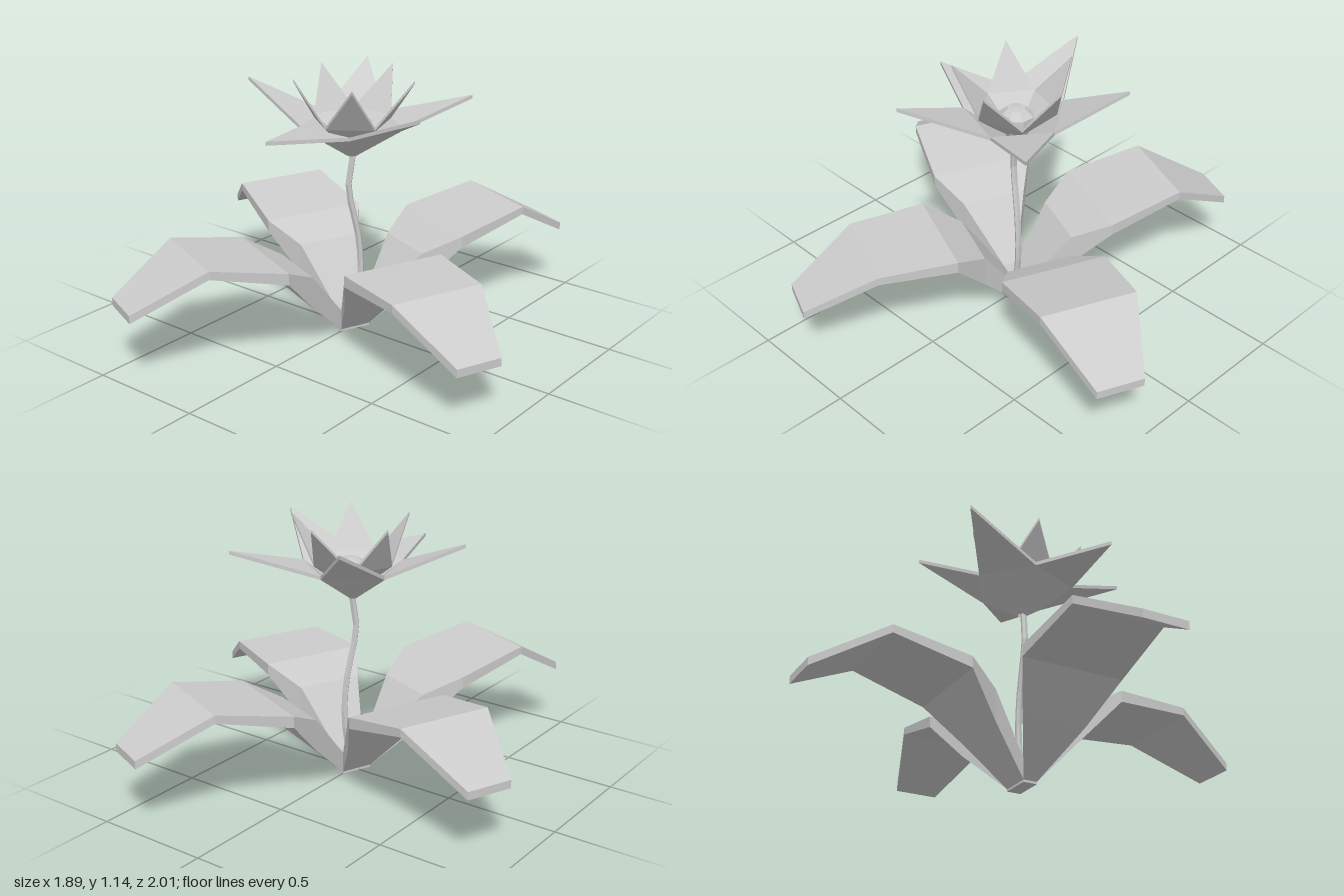
import * as THREE from 'three';

const material = new THREE.MeshStandardMaterial({ color: 0xcccccc, flatShading: true, side: THREE.DoubleSide });

function addMesh(parent, name, geometry) {
  const mesh = new THREE.Mesh(geometry, material);
  mesh.name = name;
  parent.add(mesh);
  return mesh;
}

function flatGeometry(points, index) {
  const g = new THREE.BufferGeometry();
  g.setAttribute('position', new THREE.Float32BufferAttribute(points.flat(), 3));
  g.setIndex(index);
  const flat = g.toNonIndexed();
  flat.computeVertexNormals();
  return flat;
}

// Box-section strip along +z; rows are [distance, half width, top, bottom]
function leafGeometry(rows) {
  const points = [], index = [];
  rows.forEach(([z, w, top, bottom], i) => {
    points.push([-w, bottom, z], [w, bottom, z], [w, top, z], [-w, top, z]);
    if (i === rows.length - 1) return;
    for (let j = 0; j < 4; j++) {
      const a = i * 4 + j, b = i * 4 + (j + 1) % 4;
      index.push(a, b, b + 4, a, b + 4, a + 4);
    }
  });
  const e = points.length - 4;
  index.push(0, 2, 1, 0, 3, 2, e, e + 1, e + 2, e, e + 2, e + 3);
  return flatGeometry(points, index);
}

// Pointed petal, a thin prism over the outline base-ring-tip-ring-base
function petalGeometry(phi, base, ring, tip, thickness) {
  const at = (angle, [r, y]) => [r * Math.cos(angle), y, r * Math.sin(angle)];
  const left = phi - Math.PI / 5, right = phi + Math.PI / 5;
  const lower = [at(left, base), at(right, base), at(right, ring), tip, at(left, ring)];
  const upper = lower.map(([x, y, z]) => [x, y + thickness, z]);
  const index = [];
  for (const [a, b, c] of [[0, 1, 2], [0, 2, 4], [4, 2, 3]]) {
    index.push(a + 5, b + 5, c + 5, a, c, b);
  }
  for (let i = 0; i < 5; i++) {
    const j = (i + 1) % 5;
    index.push(i, j, j + 5, i, j + 5, i + 5);
  }
  return flatGeometry([...lower, ...upper], index);
}

export function createModel() {
  const model = new THREE.Group();
  model.name = 'flower';

  // Base block and four folded leaves, the left one lying lower
  const leaves = new THREE.Group();
  leaves.name = 'leaves';
  model.add(leaves);
  const turn = -0.39;
  const block = addMesh(leaves, 'base', new THREE.BoxGeometry(0.138, 0.1, 0.062));
  block.position.y = 0.05;
  block.rotation.y = turn + Math.PI / 2;
  for (let i = 0; i < 4; i++) {
    const long = i % 2 === 0;
    const off = long ? 0.065 : 0;
    const drop = i === 1 ? 0.07 : 0;
    const leaf = addMesh(leaves, 'leaf', leafGeometry([
      long ? [0.069, 0.031, 0.1, 0.01] : [0.031, 0.069, 0.1, 0.01],
      [0.2 + off, 0.145, 0.34, 0.2],
      [0.35 + off, 0.23, 0.42, 0.37],
      [0.685 + off, 0.205, 0.49 - drop, 0.455 - drop],
      [0.983 + off, 0.1, 0.325 - drop, 0.29 - drop],
    ]));
    leaf.rotation.y = turn + i * Math.PI / 2;
  }

  // Bent stem
  const path = new THREE.CatmullRomCurve3([
    [0.01, 0.05, -0.01], [0.02, 0.25, -0.035], [0.016, 0.42, -0.025],
    [-0.004, 0.65, 0.018], [0.002, 0.72, 0.012], [0.008, 0.82, 0],
  ].map((p) => new THREE.Vector3(...p)));
  addMesh(model, 'stem', new THREE.TubeGeometry(path, 10, 0.014, 6));

  // Outer petals with individual tips
  const blossom = new THREE.Group();
  blossom.name = 'blossom';
  model.add(blossom);
  const tips = [
    [-0.03, 0.95, 0.5], [-0.48, 1.06, 0.11], [-0.235, 1.09, -0.405],
    [0.335, 1.01, -0.395], [0.48, 1.06, 0.18],
  ];
  const step = Math.PI * 2 / 5;
  tips.forEach((tip, k) => addMesh(blossom, 'outerPetal',
    petalGeometry(Math.PI / 2 + k * step, [0.02, 0.79], [0.22, 0.92], tip, 0.016)));

  // Inner petals, steeper and set between the outer ones
  for (let k = 0; k < 5; k++) {
    const phi = Math.PI / 2 + (k + 0.5) * step;
    const tip = [0.012 + 0.26 * Math.cos(phi), 1.125, 0.26 * Math.sin(phi) - 0.005];
    addMesh(blossom, 'innerPetal', petalGeometry(phi, [0.02, 0.82], [0.17, 0.94], tip, 0.014));
  }

  // Faceted flower centre
  const profile = [[0, 0.82], [0.045, 0.84], [0.075, 0.9], [0.075, 0.935], [0.038, 0.965], [0, 0.968]];
  const centre = addMesh(blossom, 'flowerCentre',
    new THREE.LatheGeometry(profile.map(([r, y]) => new THREE.Vector2(r, y)), 8));
  centre.position.set(0.008, 0, -0.01);
  centre.rotation.y = Math.PI / 8;

  return model;
}
